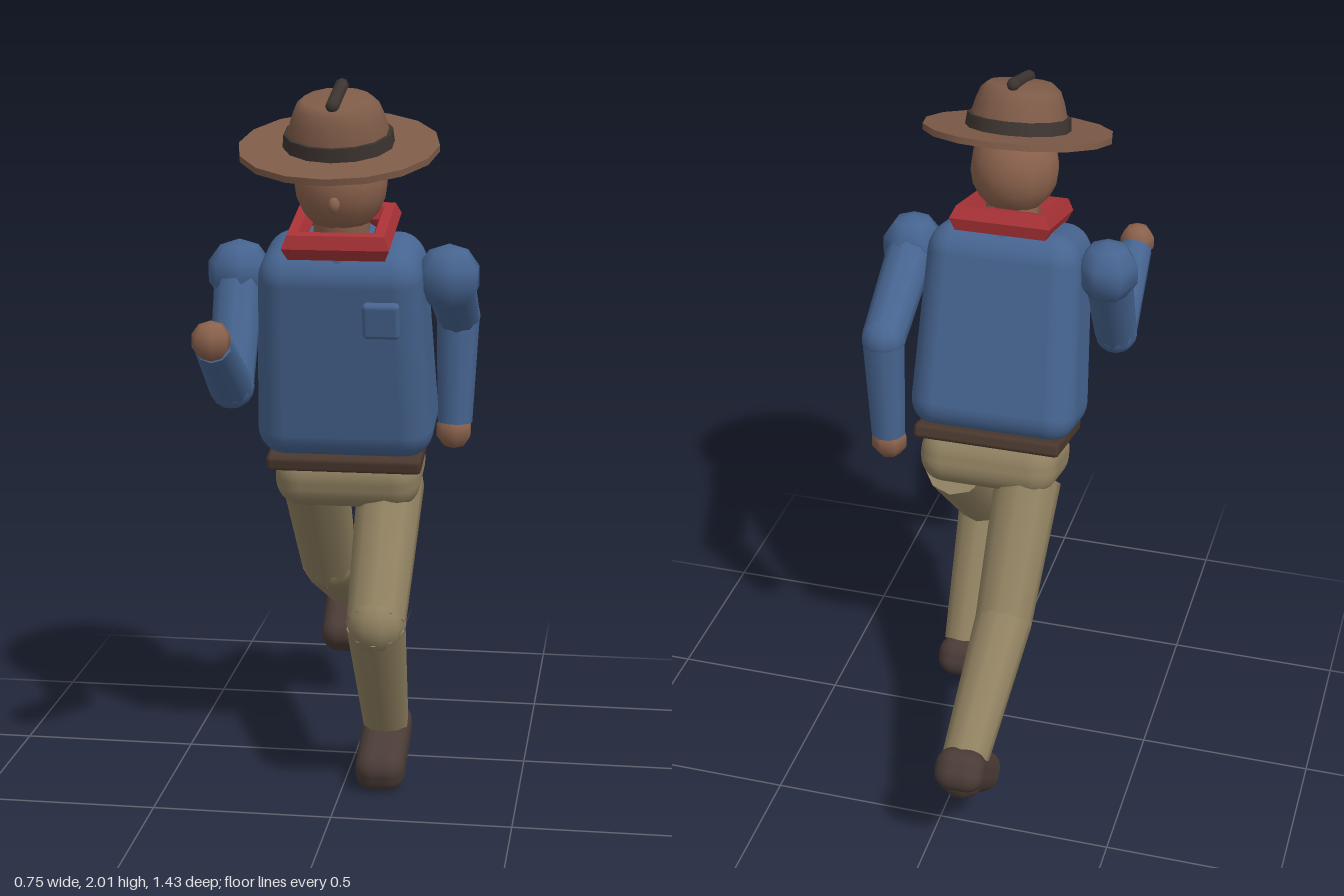
import * as THREE from 'three';
import { RoundedBoxGeometry } from 'three/addons/geometries/RoundedBoxGeometry.js';

const paint = (name, color) => {
  const m = new THREE.MeshStandardMaterial({ color });
  m.name = name;
  return m;
};

export function createModel() {
  const shirt = paint('blue shirt', 0x466490);
  const cloth = paint('khaki trousers', 0x8f8060);
  const skin = paint('brown skin', 0x8a614c);
  const felt = paint('brown felt', 0x7e5b48);
  const leather = paint('dark leather', 0x4a3b36);
  const beltMat = paint('belt brown', 0x4a382e);
  const ribbon = paint('dark ribbon', 0x3c3430);
  const red = paint('red cloth', 0xa83236);

  const model = new THREE.Group();
  model.name = 'runner';

  const add = (parent, name, geometry, material, x = 0, y = 0, z = 0, pitch = 0) => {
    const mesh = new THREE.Mesh(geometry, material);
    mesh.name = name;
    mesh.position.set(x, y, z);
    mesh.rotation.x = pitch;
    parent.add(mesh);
    return mesh;
  };
  const group = (name, y, z, pitch) => {
    const g = new THREE.Group();
    g.name = name;
    g.position.set(0, y, z);
    g.rotation.x = pitch;
    model.add(g);
    return g;
  };
  const ball = (name, p, r, material, w = 10, h = 8) =>
    add(model, name, new THREE.SphereGeometry(r, w, h), material, ...p);

  // Tapered limb section running from point a to point b
  const limb = (name, a, b, ra, rb, material) => {
    const start = new THREE.Vector3(...a);
    const dir = new THREE.Vector3(...b).sub(start);
    const mid = start.clone().addScaledVector(dir, 0.5);
    const mesh = add(model, name, new THREE.CylinderGeometry(rb, ra, dir.length(), 10), material, mid.x, mid.y, mid.z);
    mesh.quaternion.setFromUnitVectors(new THREE.Vector3(0, 1, 0), dir.normalize());
  };

  // Leaning upper body, with the torso narrowing towards the shoulders
  const body = group('upperBody', 0.97, 0.12, 0.24);
  const torso = new RoundedBoxGeometry(0.5, 0.61, 0.3, 4, 0.085);
  const pos = torso.attributes.position;
  for (let i = 0; i < pos.count; i++) {
    const k = 1 - 0.12 * (pos.getY(i) / 0.61 + 0.5);
    pos.setX(i, pos.getX(i) * k);
    pos.setZ(i, pos.getZ(i) * (0.5 + 0.5 * k));
  }
  add(body, 'torso', torso, shirt, 0, 0.315, 0);
  add(body, 'pocket', new RoundedBoxGeometry(0.1, 0.1, 0.04, 2, 0.012), shirt, 0.12, 0.45, 0.145);
  add(body, 'collar', new THREE.CylinderGeometry(0.1, 0.12, 0.06, 10), shirt, 0, 0.615, 0);
  add(body, 'neck', new THREE.CylinderGeometry(0.075, 0.08, 0.14, 10), skin, 0, 0.66, 0);
  add(body, 'belt', new RoundedBoxGeometry(0.435, 0.045, 0.295, 1, 0.014), beltMat, 0, 0.005, 0);
  add(body, 'pelvis', new RoundedBoxGeometry(0.41, 0.17, 0.285, 4, 0.075), cloth, 0, -0.07, -0.008);

  // Square neckerchief made from a four sided ring
  const scarf = new THREE.TorusGeometry(0.165, 0.04, 6, 4).toNonIndexed();
  scarf.rotateZ(Math.PI / 4).rotateX(Math.PI / 2);
  scarf.computeVertexNormals();
  add(body, 'neckerchief', scarf, red, 0, 0.645, -0.008);

  // Head and nose
  const head = ball('head', [0, 1.735, 0.293], 0.127, skin, 14, 10);
  head.scale.y = 1.08;
  const nose = ball('nose', [0, 1.685, 0.42], 0.017, skin, 8, 6);
  nose.scale.y = 1.3;

  // Hat
  const hat = group('hat', 1.83, 0.325, 0.25);
  add(hat, 'brim', new THREE.CylinderGeometry(0.27, 0.27, 0.018, 16), felt);
  const profile = [[0.143, 0], [0.136, 0.045], [0.125, 0.085], [0.112, 0.118], [0.092, 0.135], [0, 0.14]];
  add(hat, 'crown', new THREE.LatheGeometry(profile.map(p => new THREE.Vector2(...p)), 14), felt);
  add(hat, 'hatBand', new THREE.CylinderGeometry(0.146, 0.15, 0.036, 14), ribbon, 0, 0.027, 0);
  add(hat, 'crownRidge', new THREE.CapsuleGeometry(0.019, 0.175, 3, 8), ribbon, 0, 0.141, -0.005, Math.PI / 2);

  // Arms: left swings back, right swings forward
  const arms = [
    ['left', [0.29, 1.475, 0.25], [0.288, 1.32, -0.05], [0.282, 1.01, -0.047], [0.28, 0.985, -0.045]],
    ['right', [-0.29, 1.475, 0.23], [-0.285, 1.19, 0.395], [-0.284, 1.345, 0.64], [-0.284, 1.36, 0.662]],
  ];
  for (const [side, shoulder, elbow, wrist, hand] of arms) {
    ball(side + 'Shoulder', shoulder, 0.092, shirt, 7, 5);
    limb(side + 'UpperArm', shoulder, elbow, 0.07, 0.062, shirt);
    ball(side + 'Elbow', elbow, 0.064, shirt);
    limb(side + 'Forearm', elbow, wrist, 0.062, 0.05, shirt);
    ball(side + 'Hand', hand, 0.054, skin, 7, 5);
  }

  // Legs: left steps forward, right pushes off behind
  const legs = [
    ['left', [0.112, 0.86, 0.07], [0.11, 0.53, 0.385], [0.108, 0.16, 0.14], [0.108, 0.098, 0.182], 0.38],
    ['right', [-0.112, 0.86, 0.05], [-0.11, 0.53, -0.21], [-0.108, 0.33, -0.61], [-0.108, 0.27, -0.582], 0.68],
  ];
  for (const [side, hip, knee, ankle, foot, pitch] of legs) {
    limb(side + 'Thigh', hip, knee, 0.097, 0.083, cloth);
    ball(side + 'Knee', knee, 0.084, cloth);
    limb(side + 'Shin', knee, ankle, 0.083, 0.066, cloth);
    add(model, side + 'Boot', new RoundedBoxGeometry(0.14, 0.12, 0.3, 4, 0.05), leather, ...foot, pitch);
    const [x, y, z] = ankle;
    ball(side + 'Heel', [x, y - 0.03, z - 0.025], 0.071, leather);
  }
  return model;
}
